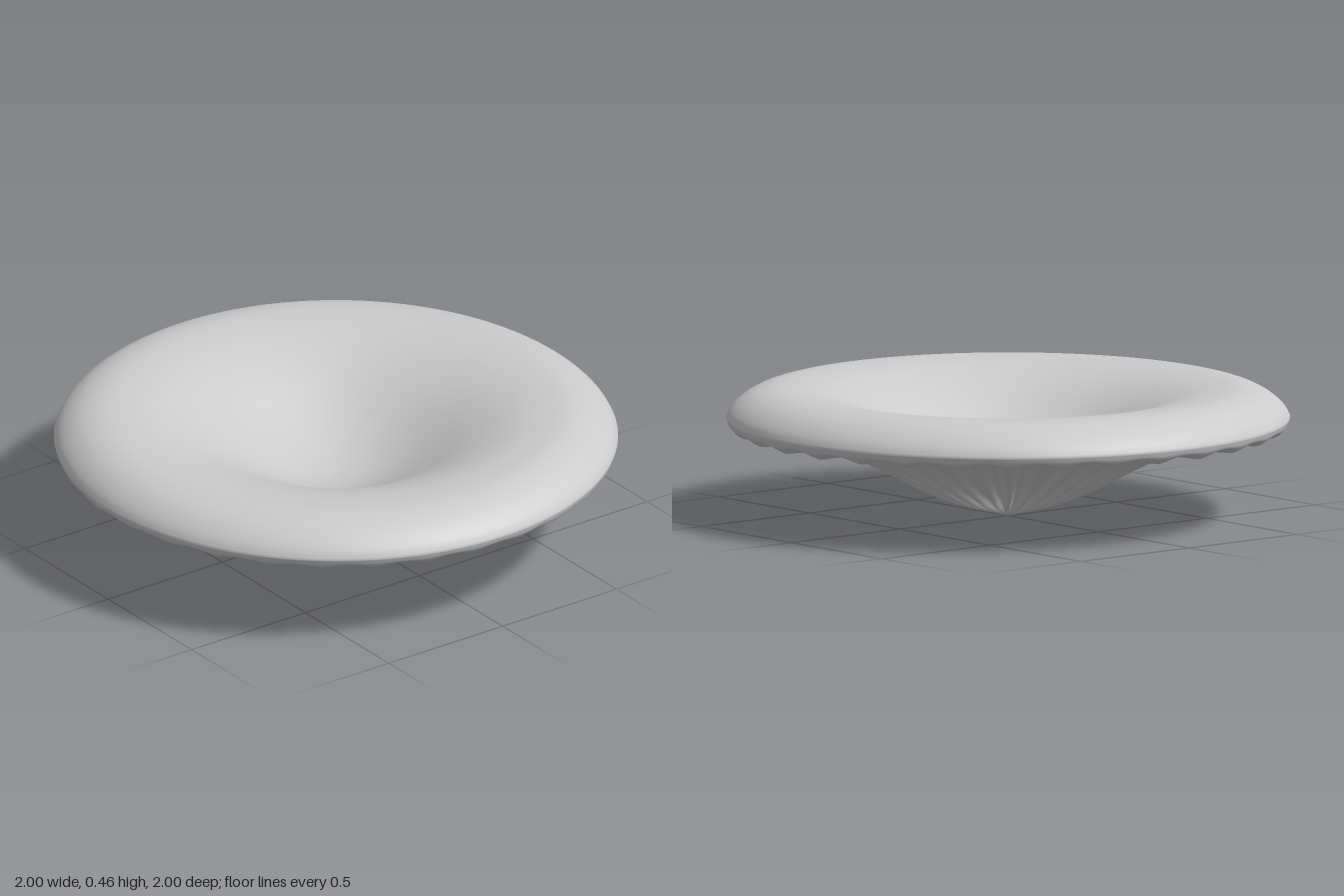
import * as THREE from 'three';
import { mergeVertices } from 'three/addons/utils/BufferGeometryUtils.js';

const GILLS = 32;
const GILL_DEPTH = 0.032;

const curve = (points) =>
  new THREE.CatmullRomCurve3(points.map(([r, y]) => new THREE.Vector3(r, y, 0)));

function sample(points, count) {
  return curve(points).getPoints(count).map((p) => new THREE.Vector2(Math.max(p.x, 0), p.y));
}

function createCap() {
  // Underside: from the pointed tip out to the widest part of the rim
  const under = sample([
    [0, 0], [0.08, 0.02], [0.2, 0.052], [0.32, 0.102], [0.42, 0.155], [0.52, 0.206],
    [0.62, 0.25], [0.72, 0.281], [0.82, 0.298], [0.9, 0.301], [0.955, 0.304], [0.988, 0.325], [1, 0.355],
  ], 64);
  // Upper side: over the rounded rim and down into the dish
  const upper = sample([
    [1, 0.355], [0.985, 0.382], [0.95, 0.415], [0.9, 0.443], [0.83, 0.46], [0.76, 0.46],
    [0.66, 0.447], [0.56, 0.417], [0.46, 0.373], [0.36, 0.318], [0.26, 0.265], [0.16, 0.225],
    [0.08, 0.207], [0, 0.2],
  ], 48);
  const profile = [...under, ...upper.slice(1)];

  const geometry = new THREE.LatheGeometry(profile, GILLS * 8);
  const pos = geometry.attributes.position;

  // Gills: radial grooves pressed up into the underside, fading at tip and rim
  for (let i = 0; i < pos.count; i++) {
    if (i % profile.length >= under.length) continue;
    const x = pos.getX(i), z = pos.getZ(i);
    const r = Math.hypot(x, z);
    const fade = THREE.MathUtils.smoothstep(r, 0.0, 0.25) * (1 - THREE.MathUtils.smoothstep(r, 0.955, 1));
    const groove = 0.5 + 0.5 * Math.cos(GILLS * Math.atan2(x, z));
    pos.setY(i, pos.getY(i) + GILL_DEPTH * fade * groove);
  }

  // Weld the seam so the normals stay smooth all round
  geometry.deleteAttribute('uv');
  geometry.deleteAttribute('normal');
  const welded = mergeVertices(geometry, 1e-5);
  welded.computeVertexNormals();
  return welded;
}

export function createModel() {
  const group = new THREE.Group();
  group.name = 'mushroomCap';
  const cap = new THREE.Mesh(createCap(), new THREE.MeshStandardMaterial({ color: 0xcccccc }));
  cap.name = 'cap';
  group.add(cap);
  return group;
}
